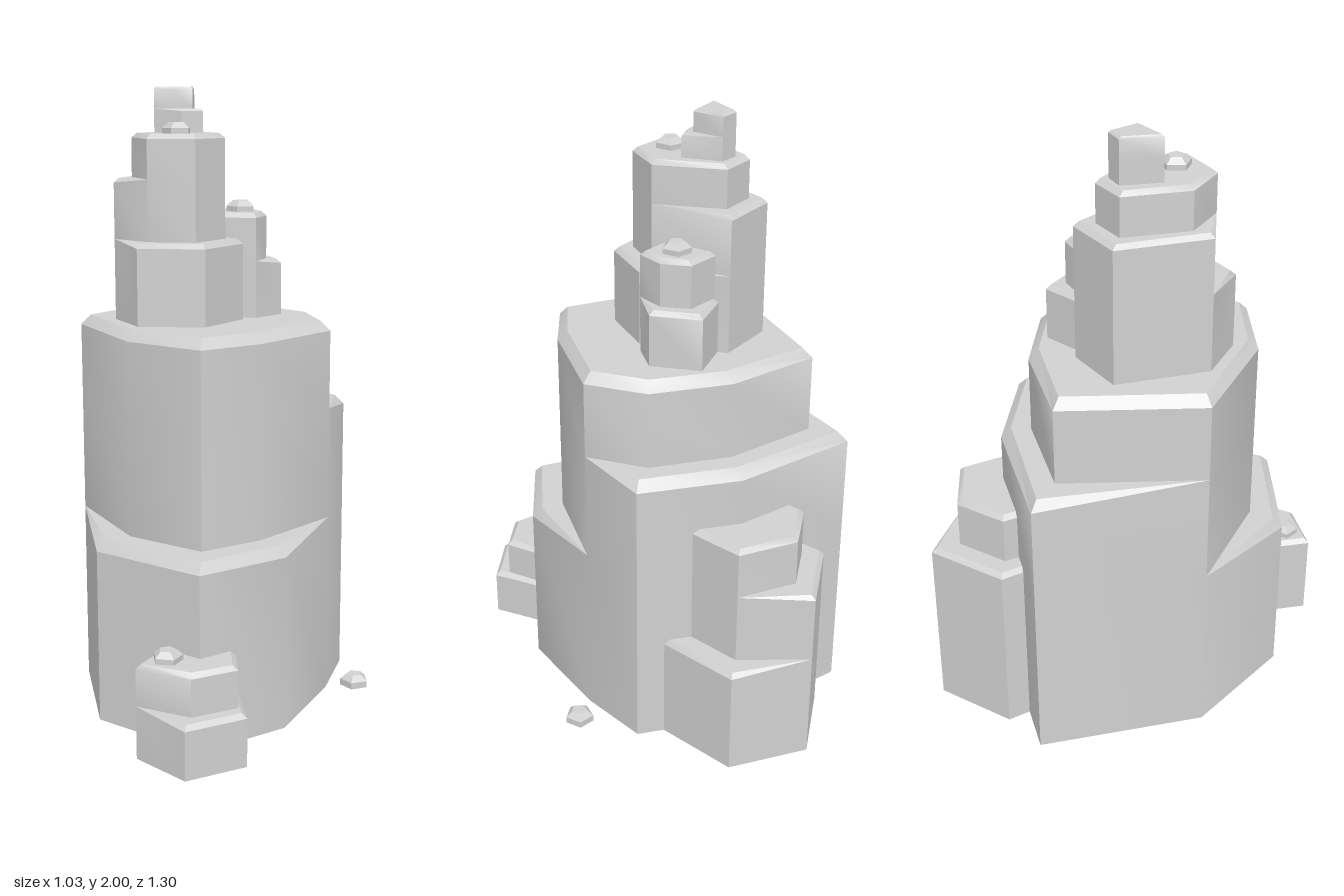
import * as THREE from 'three';
import { toCreasedNormals } from 'three/addons/utils/BufferGeometryUtils.js';

const stone = new THREE.MeshStandardMaterial({ color: 0xd1d1d1 });
stone.name = 'pale grey stone';

// Skins a stack of rings (each a list of [x, y, z], clockwise from above) and caps both ends.
function skin(name, rings) {
  const pos = [];
  const tri = (a, b, c) => {
    const v = [a, b, c].map((p) => new THREE.Vector3(...p));
    const area = v[1].clone().sub(v[0]).cross(v[2].clone().sub(v[0])).length();
    if (area > 1e-7) pos.push(...a, ...b, ...c);
  };
  const n = rings[0].length;
  for (let r = 0; r < rings.length - 1; r++) {
    const lo = rings[r], hi = rings[r + 1];
    for (let i = 0; i < n; i++) {
      const j = (i + 1) % n;
      tri(lo[i], hi[i], hi[j]);
      tri(lo[i], hi[j], lo[j]);
    }
  }
  const bottom = rings[0], top = rings[rings.length - 1];
  for (let i = 1; i < n - 1; i++) {
    tri(bottom[0], bottom[i], bottom[i + 1]);
    tri(top[0], top[i + 1], top[i]);
  }
  const geo = new THREE.BufferGeometry();
  geo.setAttribute('position', new THREE.Float32BufferAttribute(pos, 3));
  const mesh = new THREE.Mesh(toCreasedNormals(geo, 0.66), stone);
  mesh.name = name;
  return mesh;
}

// A terraced rock. Each tier is [top height, corners already stepped in to the inner outline].
// Corners that end in a ledge get a chamfer; corners that carry on upward do not.
function crag(name, { outer, inner, base, tiers, drop = 0.015, inset = 0.018 }) {
  const n = outer.length;
  const outline = (steps) => outer.map((p, i) => (steps.includes(i) ? inner[i] : p));
  const rings = [];
  let y0 = base;
  tiers.forEach(([y1, steps], t) => {
    const here = outline(steps);
    const cx = here.reduce((s, p) => s + p[0], 0) / n;
    const cz = here.reduce((s, p) => s + p[1], 0) / n;
    const next = t + 1 < tiers.length ? outline(tiers[t + 1][1]) : null;
    const ledge = here.map((p, i) => !next || p[0] !== next[i][0] || p[1] !== next[i][1]);
    rings.push(here.map(([x, z]) => [x, y0, z]));
    rings.push(here.map(([x, z], i) => [x, ledge[i] ? y1 - drop : y1, z]));
    rings.push(here.map(([x, z], i) => {
      const k = ledge[i] ? inset / Math.hypot(cx - x, cz - z) : 0;
      return [x + (cx - x) * k, y1, z + (cz - z) * k];
    }));
    y0 = y1;
  });
  return skin(name, rings);
}

// Small five-sided loose stone
function pebble(x, y, z, turn) {
  const pts = [];
  for (let i = 0; i < 5; i++) {
    const a = turn - Math.PI / 2 + (i * Math.PI * 2) / 5;
    pts.push([x + Math.cos(a) * 0.048, z + Math.sin(a) * 0.048]);
  }
  return crag('pebble', {
    outer: pts, inner: pts, base: y, tiers: [[y + 0.04, []]], drop: 0.018, inset: 0.021,
  });
}

export function createModel() {
  const model = new THREE.Group();
  model.name = 'rockSpire';

  // Main body: front ledge, back ledge, then a full shoulder
  model.add(crag('mainRock', {
    outer: [[-0.45, -0.26], [-0.057, -0.65], [0.265, -0.35], [0.41, -0.04],
      [0.27, 0.155], [0.015, 0.41], [-0.295, 0.485], [-0.52, 0.145]],
    inner: [[-0.45, -0.26], [-0.057, -0.52], [0.18, -0.30], [0.3, -0.055],
      [0.27, 0.155], [-0.035, 0.315], [-0.245, 0.36], [-0.405, 0.13]],
    base: 0,
    tiers: [[0.6, []], [0.97, [5, 6, 7]], [1.26, [1, 2, 3, 5, 6, 7]]],
    drop: 0.033, inset: 0.034,
  }));

  // Upper tower
  model.add(crag('upperRock', {
    outer: [[-0.37, -0.12], [-0.16, -0.345], [0.03, -0.26], [0.015, 0.03], [-0.155, 0.148], [-0.35, 0.06]],
    inner: [[-0.305, -0.135], [-0.147, -0.287], [-0.033, -0.235], [-0.035, 0.0], [-0.165, 0.087], [-0.30, 0.015]],
    base: 1.25,
    tiers: [[1.52, []], [1.715, [3, 4, 5]], [1.855, [0, 1, 2, 3, 4, 5]]],
  }));

  // Small stepped column beside the tower
  model.add(crag('sideRock', {
    outer: [[0.03, -0.225], [0.175, -0.2], [0.173, -0.033], [0.065, 0.017], [-0.035, -0.04]],
    inner: [[0.03, -0.213], [0.13, -0.155], [0.13, -0.058], [0.065, 0.017], [-0.035, -0.04]],
    base: 1.25,
    tiers: [[1.445, []], [1.6, [0, 1, 2]]],
  }));

  // Peak
  model.add(crag('peakRock', {
    outer: [[-0.22, -0.16], [-0.12, -0.245], [-0.065, -0.213], [-0.08, -0.083], [-0.152, -0.09]],
    inner: [[-0.22, -0.16], [-0.12, -0.245], [-0.065, -0.213], [-0.105, -0.115], [-0.163, -0.135]],
    base: 1.845,
    tiers: [[1.93, []], [2.0, [3, 4]]],
    drop: 0.007, inset: 0.008,
  }));

  // Buttress at the back
  model.add(crag('backRock', {
    outer: [[0.1, -0.605], [0.378, -0.605], [0.515, -0.365], [0.37, -0.12], [0.1, -0.12], [-0.03, -0.365]],
    inner: [[0.135, -0.535], [0.315, -0.535], [0.43, -0.365], [0.33, -0.2], [0.135, -0.2], [0.03, -0.365]],
    base: 0,
    tiers: [[0.37, []], [0.61, [2, 3]], [0.78, [0, 1, 2, 3, 4, 5]]],
  }));

  // Low outcrop at the front
  model.add(crag('frontRock', {
    outer: [[-0.35, 0.33], [-0.155, 0.44], [-0.195, 0.625], [-0.40, 0.65], [-0.49, 0.457]],
    inner: [[-0.35, 0.33], [-0.165, 0.44], [-0.205, 0.575], [-0.36, 0.592], [-0.49, 0.457]],
    base: 0,
    tiers: [[0.17, []], [0.305, [1, 2, 3]]],
  }));

  // Loose stones: one on the ground, three on ledges
  model.add(
    pebble(0.37, 0, 0.17, 0),
    pebble(0.055, 1.595, -0.095, 0),
    pebble(-0.185, 1.85, -0.03, 0.1),
    pebble(-0.39, 0.3, 0.46, 0.55),
  );
  return model;
}
